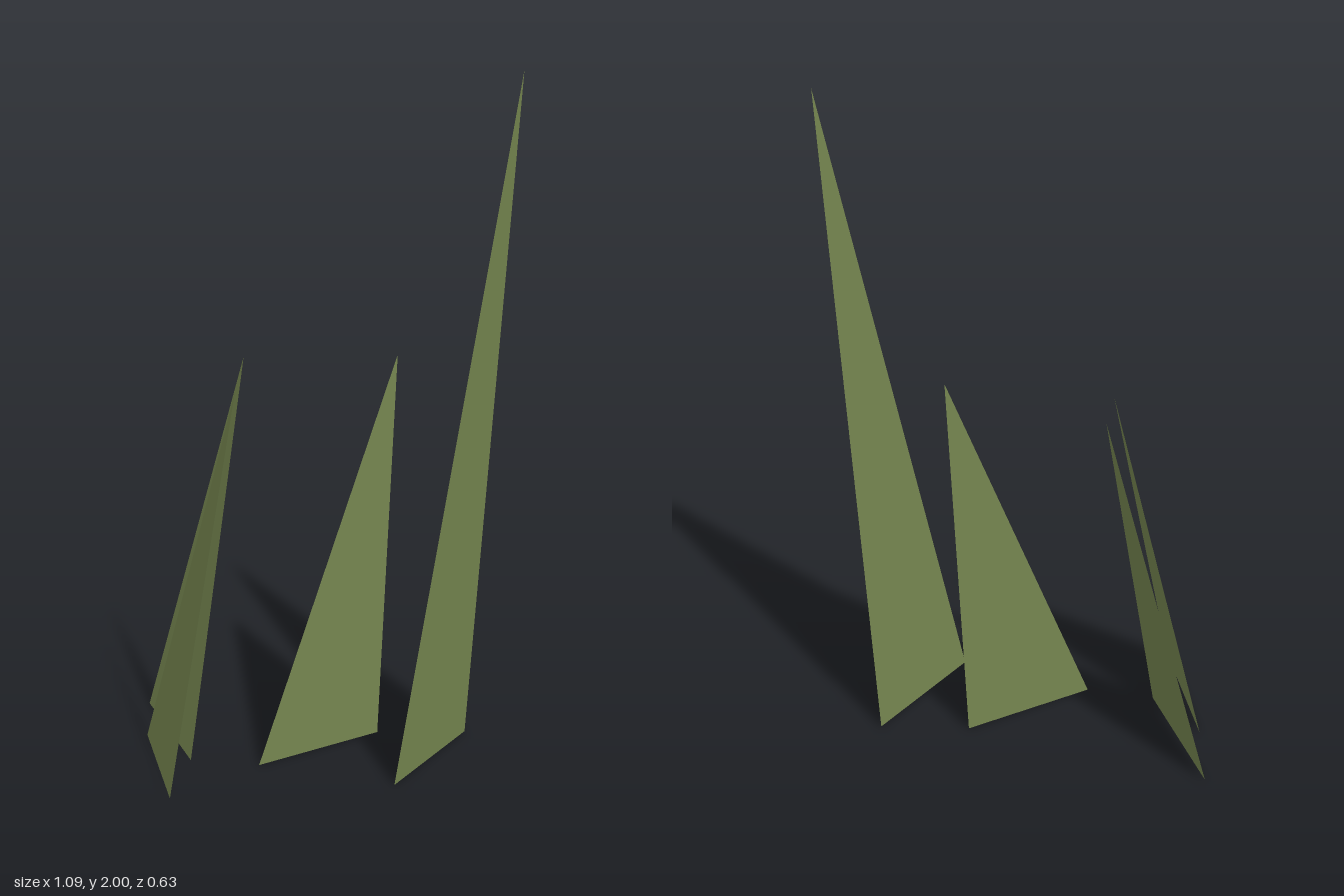
import * as THREE from 'three';

export function createModel() {
  const group = new THREE.Group();
  group.name = 'grassTuft';

  const grassGreen = new THREE.MeshStandardMaterial({ color: 0x75854f, side: THREE.DoubleSide });
  grassGreen.name = 'grassGreen';

  // One flat blade: two base corners and a leaning tip
  function addBlade(name, baseA, baseB, tip) {
    const geometry = new THREE.BufferGeometry();
    geometry.setAttribute('position', new THREE.Float32BufferAttribute([...baseA, ...baseB, ...tip], 3));
    geometry.computeVertexNormals();
    const blade = new THREE.Mesh(geometry, grassGreen);
    blade.name = name;
    group.add(blade);
  }

  addBlade('tallBlade', [0.203, 0, 0.227], [0.425, 0, -0.125], [0.545, 2, -0.088]);
  addBlade('middleBlade', [-0.19, 0, 0.105], [0.16, 0, -0.117], [0.21, 1.18, -0.14]);
  addBlade('rightFrontBlade', [-0.435, 0, 0.314], [-0.535, 0, -0.093], [-0.253, 1.1, -0.03]);
  addBlade('rightBackBlade', [-0.392, 0, 0.075], [-0.548, 0, -0.317], [-0.238, 1.14, -0.262]);

  return group;
}
